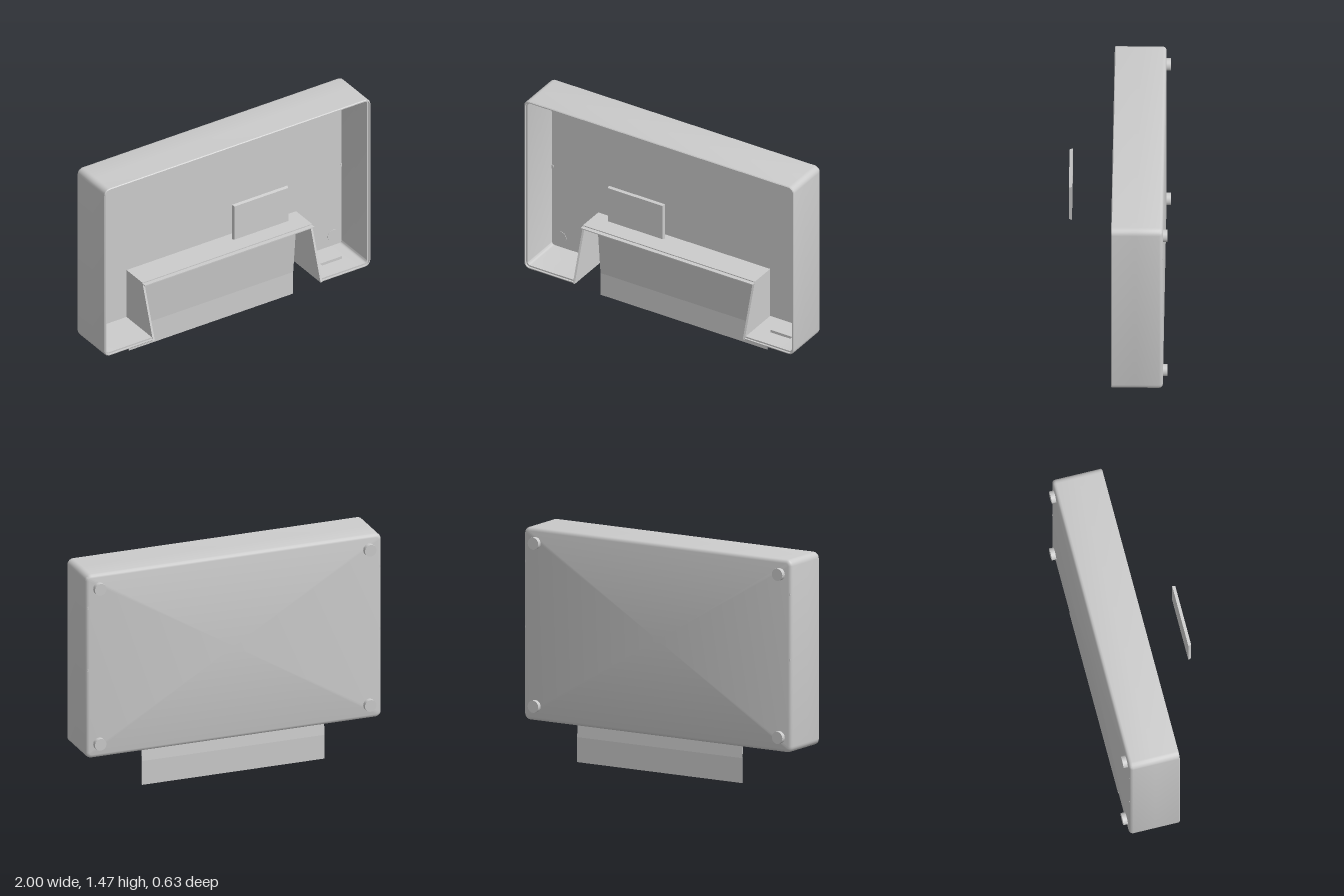
import * as THREE from 'three';
import { toCreasedNormals } from 'three/addons/utils/BufferGeometryUtils.js';

const grey = new THREE.MeshStandardMaterial({ color: 0xcccccc, side: THREE.DoubleSide });
const BOTTOM = 0.235, TOP = 1.47, RADIUS = 0.04, FLOOR = -0.262, NOTCH = 0.635;

function add(parent, name, geometry, x = 0, y = 0, z = 0) {
  const mesh = new THREE.Mesh(geometry, grey);
  mesh.name = name;
  mesh.position.set(x, y, z);
  parent.add(mesh);
  return mesh;
}

// Rounded rectangle; extra points on the bottom edge mark the notch and the slot
function contour(inset) {
  const pts = [-NOTCH, NOTCH, 0.725, 0.89].map((x) => [x, BOTTOM + inset]);
  const r = RADIUS - inset;
  const corners = [[1, BOTTOM + RADIUS], [1, TOP - RADIUS], [-1, TOP - RADIUS], [-1, BOTTOM + RADIUS]];
  corners.forEach(([side, cy], k) => {
    for (let s = 0; s <= 5; s++) {
      const a = (k - 1 + s / 5) * Math.PI / 2;
      pts.push([side * (1 - RADIUS) + r * Math.cos(a), cy + r * Math.sin(a)]);
    }
  });
  return pts;
}

// Hollow tray: rings run from the inner floor, over the stepped rim, to the rounded back
function shellGeometry() {
  const stations = [
    [null, FLOOR], [0.02, FLOOR], [0.02, -0.1225], [0.02, -0.0975], [0.02, 0.028],
    [0.01, 0.028], [0.01, 0.04], [0.005, 0.04], [0, 0.035],
    [0, -0.0975], [0, -0.1225], [0, FLOOR],
    [0.003, -0.2735], [0.0115, -0.282], [0.023, -0.285], [null, -0.285],
  ];
  const outerFloor = 11;
  const n = contour(0).length, pos = [], index = [];
  for (const [inset, z] of stations) {
    for (const [x, y] of contour(inset ?? 0)) {
      if (inset === null) pos.push(0, (BOTTOM + TOP) / 2, z);
      else pos.push(x, y, z);
    }
  }
  const quad = (i, k, j) => {
    const a = i * n + j, b = i * n + (j + 1) % n, c = k * n + (j + 1) % n, d = k * n + j;
    if (stations[i][0] !== null) index.push(a, c, b);
    if (stations[k][0] !== null) index.push(a, d, c);
  };
  for (let i = 0; i < stations.length - 1; i++) {
    for (let j = 0; j < n; j++) {
      const inNotch = j === 0 && i >= 1 && i < outerFloor;
      const inSlot = j === 2 && (i === 2 || i === 9);
      if (!inNotch && !inSlot) quad(i, i + 1, j);
    }
  }
  quad(1, outerFloor, 0); // lower edge of the back panel inside the notch
  // thickness of the slot
  quad(2, 10, 2);
  quad(9, 3, 2);
  const g = new THREE.BufferGeometry();
  g.setAttribute('position', new THREE.Float32BufferAttribute(pos, 3));
  g.setIndex(index);
  return toCreasedNormals(g, 0.65);
}

// Extrudes a (z, y) outline along x, centred on x = 0
function sideExtrude(points, width) {
  const shape = new THREE.Shape(points.map(([z, y]) => new THREE.Vector2(z, y)));
  const g = new THREE.ExtrudeGeometry(shape, { depth: width, bevelEnabled: false });
  return g.rotateY(-Math.PI / 2).translate(width / 2, 0, 0);
}

export function createModel() {
  const model = new THREE.Group();
  model.name = 'wallTray';
  add(model, 'shell', shellGeometry());

  // Notch: sloping cheeks, roof and thin front lip
  const notch = new THREE.Group();
  notch.name = 'notch';
  model.add(notch);
  const cheek = sideExtrude([[0.04, BOTTOM], [-0.08, 0.6], [FLOOR, 0.6], [FLOOR, BOTTOM]], 0.014);
  for (const s of [-1, 1]) add(notch, 'notchCheek', cheek, s * (NOTCH - 0.005));
  add(notch, 'notchRoof', new THREE.BoxGeometry(1.274, 0.012, 0.182), 0, 0.596, -0.171);
  add(notch, 'notchLip', new THREE.BoxGeometry(1.274, 0.006, 0.03), 0, 0.593, -0.067);

  // Bent sheet hanging out of the notch
  add(model, 'hangingFlap', sideExtrude([
    [-0.22, 0.59], [-0.261, 0.16], [-0.261, 0], [-0.265, 0], [-0.265, 0.16], [-0.224, 0.59],
  ], 1.235), -0.003);

  // Round feet and small edge pegs on the back
  const foot = new THREE.CylinderGeometry(0.039, 0.039, 0.055, 32).rotateX(Math.PI / 2);
  const peg = new THREE.CylinderGeometry(0.013, 0.013, 0.026, 16).rotateX(Math.PI / 2);
  for (const s of [-1, 1]) {
    for (const y of [0.33, 1.375]) add(model, 'foot', foot, s * 0.913, y, -0.2865);
    for (const y of [0.83, 1.25]) add(model, 'edgePeg', peg, s * 0.978, y, -0.27);
  }

  // Separate cover plate with tapered edges, floating in front
  const plate = new THREE.BoxGeometry(0.415, 0.255, 0.02);
  const p = plate.attributes.position;
  for (let i = 0; i < p.count; i++) {
    if (p.getZ(i) > 0) p.setXY(i, p.getX(i) * 0.975, p.getY(i) * 0.96);
  }
  plate.computeVertexNormals();
  add(model, 'coverPlate', plate, -0.003, 1.102, 0.305);
  return model;
}
